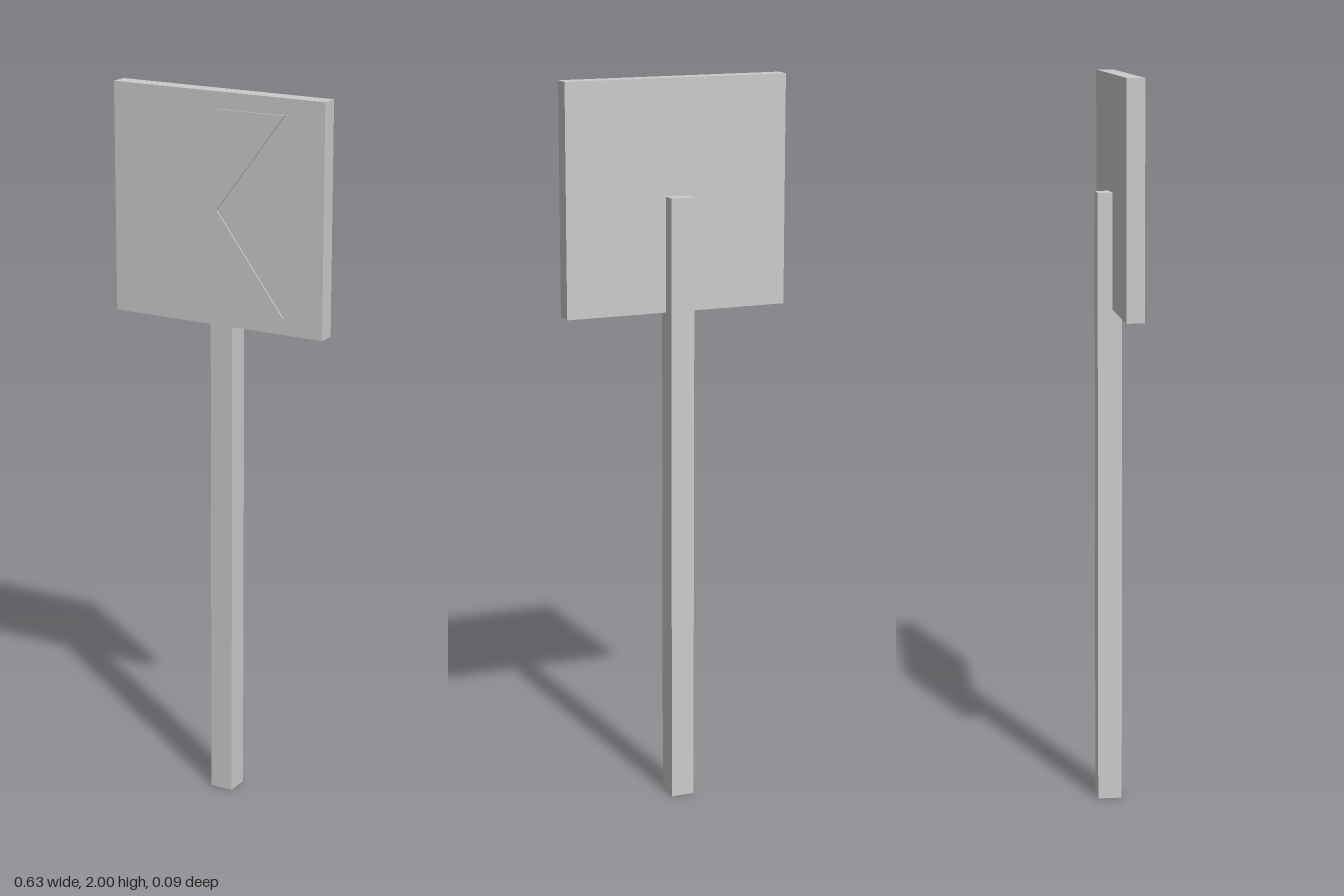
import * as THREE from 'three';

export function createModel() {
  const group = new THREE.Group();
  const material = new THREE.MeshStandardMaterial({ color: 0xcccccc });

  const add = (name, geometry, x, y, z) => {
    const mesh = new THREE.Mesh(geometry, material);
    mesh.name = name;
    mesh.position.set(x, y, z);
    group.add(mesh);
  };

  const centreY = 1.6875; // middle of the board, also the top of the post
  const boardFront = 0.041;

  // Square post, let into the back of the board
  add('post', new THREE.BoxGeometry(0.066, centreY, 0.066), 0, centreY / 2, -0.0135);

  // Square sign board
  add('signBoard', new THREE.BoxGeometry(0.63, 0.625, 0.048), 0, centreY, boardFront - 0.024);

  // Thin raised chevron pointing to -x
  const w = 0.2, h = 0.267;
  const chevron = new THREE.Shape(
    [[0, h], [-w, 0], [0, -h], [w, -h], [0, 0], [w, h]].map(([x, y]) => new THREE.Vector2(x, y))
  );
  add('chevron', new THREE.ExtrudeGeometry(chevron, { depth: 0.004, bevelEnabled: false }), 0, centreY, boardFront);

  return group;
}
